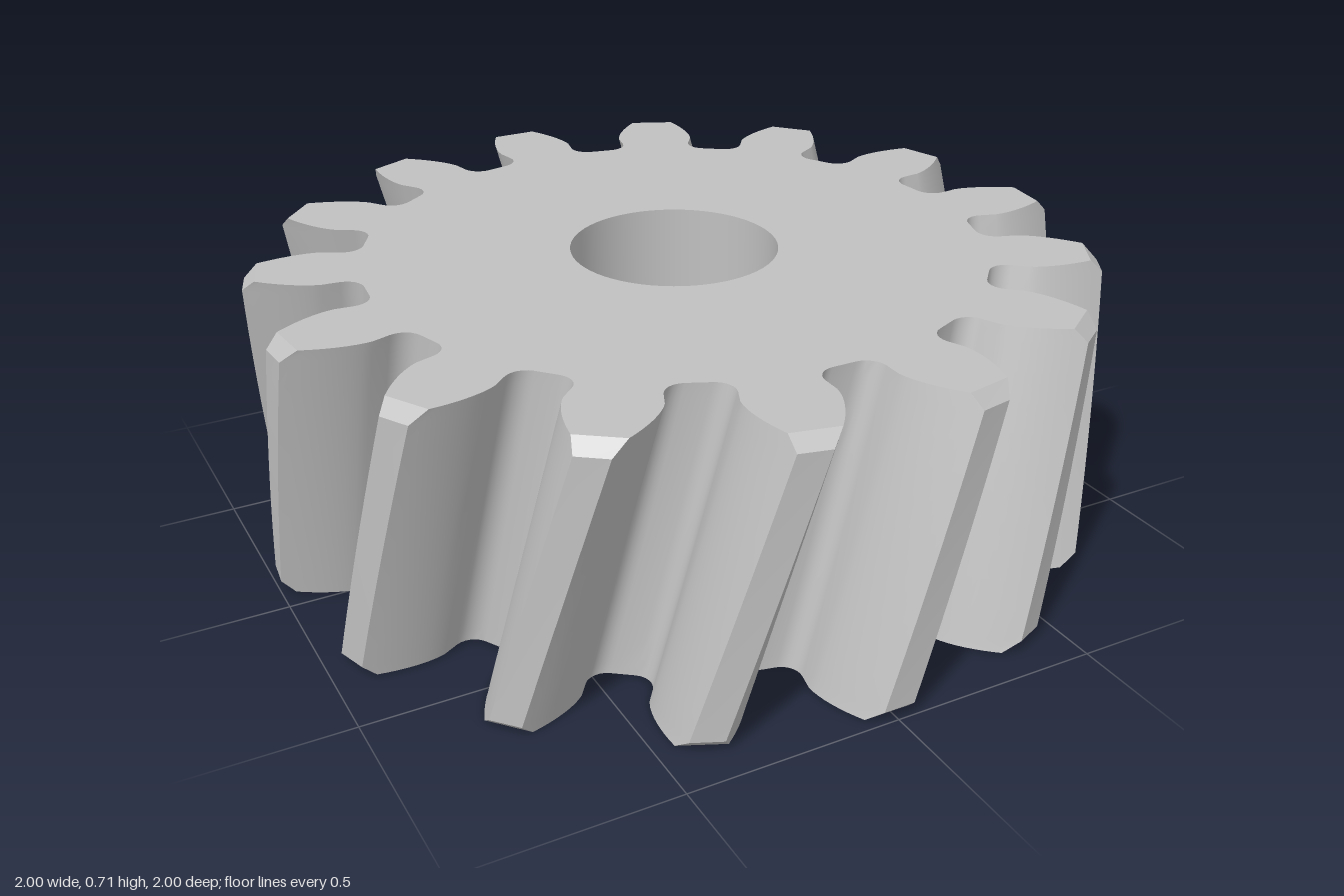
import * as THREE from 'three';
import { toCreasedNormals } from 'three/addons/utils/BufferGeometryUtils.js';

const TEETH = 15;
const HEIGHT = 0.706;
const TIP = 1, ROOT = 0.735, PITCH = 0.882, BORE = 0.246;
const CHAMFER = 0.03;
const TWIST = THREE.MathUtils.degToRad(12.5);
const PRESSURE = THREE.MathUtils.degToRad(20.6);
const BASE = PITCH * Math.cos(PRESSURE);
const STEP = (2 * Math.PI) / TEETH;

// Half angle of an involute tooth at radius r
const involute = (a) => Math.tan(a) - a;
const halfAngle = (r) =>
  STEP / 4 + involute(PRESSURE) - involute(Math.acos(Math.min(1, BASE / r)));

// One side of a tooth, from tip to gap floor, as [angle, radius]
function halfTooth(tip) {
  const points = [];
  const flankSteps = 8, filletSteps = 6, fillet = 0.045;
  for (let i = 0; i <= flankSteps; i++) {
    const r = tip + ((BASE - tip) * i) / flankSteps;
    points.push([halfAngle(r), r]);
  }
  const wall = BASE * Math.sin(STEP / 2 - halfAngle(BASE));
  for (let i = 0; i <= filletSteps; i++) {
    const a = (i / filletSteps) * Math.PI / 2;
    const u = wall - fillet + fillet * Math.cos(a);
    const v = ROOT + fillet - fillet * Math.sin(a);
    points.push([STEP / 2 - Math.atan2(u, v), Math.hypot(u, v)]);
  }
  return points;
}

// Closed outline of the gear at height y, as [x, z]
function outline(y) {
  const edge = Math.min(y, HEIGHT - y);
  const half = halfTooth(TIP - Math.max(0, CHAMFER - edge));
  const tooth = [...half.map(([a, r]) => [-a, r]).reverse(), ...half];
  const turn = TWIST * (1 - y / HEIGHT);
  const ring = [];
  for (let t = 0; t < TEETH; t++) {
    for (const [a, r] of tooth) {
      const angle = t * STEP + a + turn;
      ring.push([r * Math.sin(angle), -r * Math.cos(angle)]);
    }
  }
  return ring;
}

// Twisted tooth surface lofted through the outlines
function toothGeometry() {
  const levels = [0];
  const steps = 10;
  for (let i = 0; i <= steps; i++) {
    levels.push(CHAMFER + ((HEIGHT - 2 * CHAMFER) * i) / steps);
  }
  levels.push(HEIGHT);
  const positions = [], index = [];
  let count = 0;
  levels.forEach((y) => {
    const ring = outline(y);
    count = ring.length;
    ring.forEach(([x, z]) => positions.push(x, y, z));
  });
  for (let j = 0; j < levels.length - 1; j++) {
    for (let i = 0; i < count; i++) {
      const a = j * count + i, b = j * count + ((i + 1) % count);
      index.push(b, a, a + count, b, a + count, b + count);
    }
  }
  const geometry = new THREE.BufferGeometry();
  geometry.setAttribute('position', new THREE.Float32BufferAttribute(positions, 3));
  geometry.setIndex(index);
  return toCreasedNormals(geometry, 0.56);
}

// Flat end face with the bore cut out; side is 1 for top, -1 for bottom
function faceGeometry(y, side) {
  const shape = new THREE.Shape(outline(y).map(([x, z]) => new THREE.Vector2(x, -side * z)));
  shape.holes.push(new THREE.Path().absarc(0, 0, BORE, 0, Math.PI * 2, true));
  return new THREE.ShapeGeometry(shape, 32).rotateX((-side * Math.PI) / 2).translate(0, y, 0);
}

export function createModel() {
  const steel = new THREE.MeshStandardMaterial({ color: 0xc0c0c0 });
  steel.name = 'steel grey';
  const gear = new THREE.Group();
  gear.name = 'helicalGear';
  const add = (name, geometry) => {
    const mesh = new THREE.Mesh(geometry, steel);
    mesh.name = name;
    gear.add(mesh);
  };

  add('helicalTeeth', toothGeometry());
  add('topFace', faceGeometry(HEIGHT, 1));
  add('bottomFace', faceGeometry(0, -1));

  // Bore wall, profiled downwards so that it faces the axis
  const wall = [new THREE.Vector2(BORE, HEIGHT), new THREE.Vector2(BORE, 0)];
  add('bore', new THREE.LatheGeometry(wall, 64));
  return gear;
}
